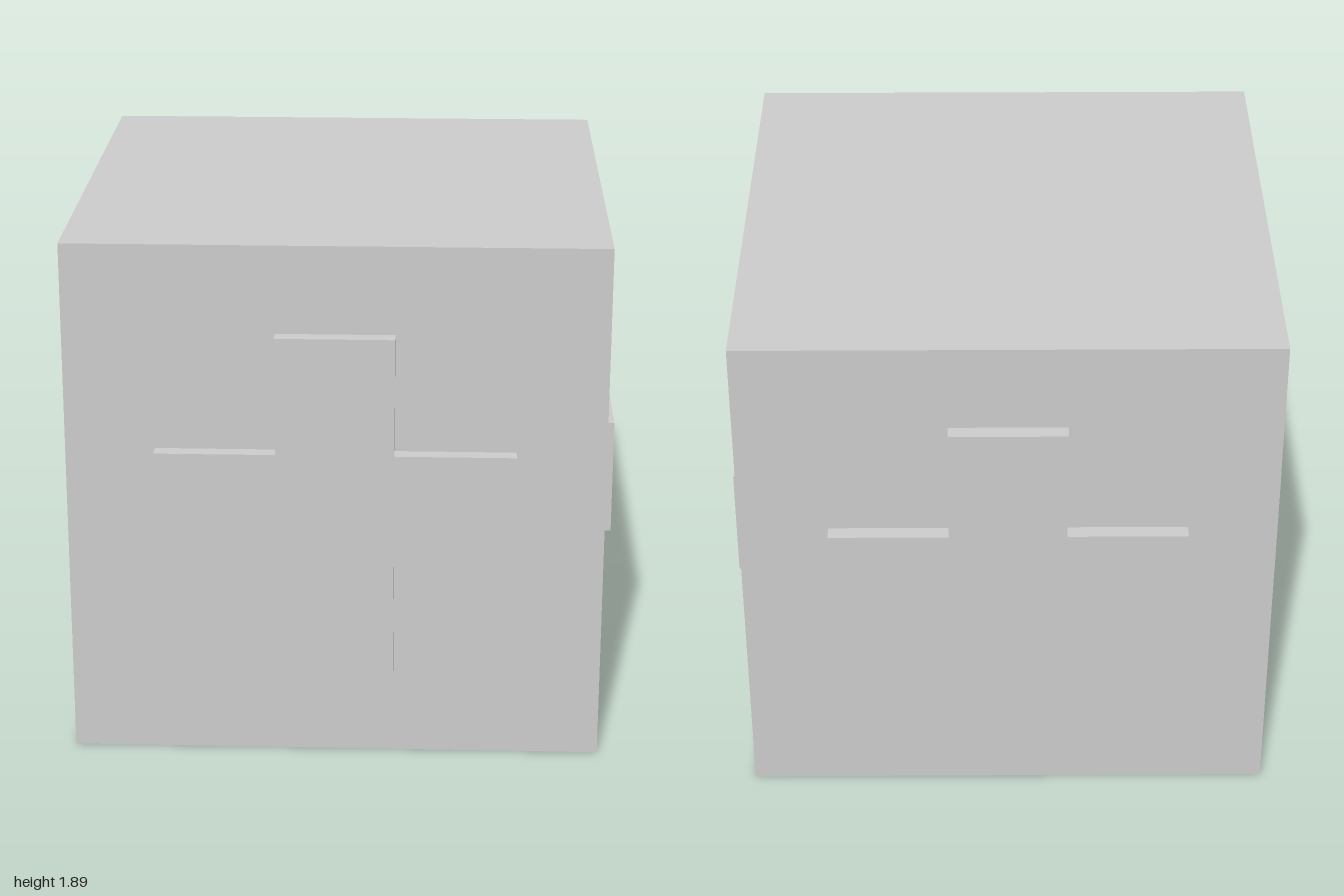
import * as THREE from 'three';

const SIZE = 1.888;   // cube edge
const REACH = 0.63;   // centre to tip of a cross arm
const ARM = 0.207;    // half width of a cross arm

// Plus-shaped plate that starts on z = 0 and rises along +z
function crossGeometry(depth) {
  const r = REACH, a = ARM;
  const outline = [
    [-a, -r], [a, -r], [a, -a], [r, -a], [r, a], [a, a],
    [a, r], [-a, r], [-a, a], [-r, a], [-r, -a], [-a, -a],
  ].map(([x, y]) => new THREE.Vector2(x, y));
  return new THREE.ExtrudeGeometry(new THREE.Shape(outline), { depth, bevelEnabled: false });
}

export function createModel() {
  const model = new THREE.Group();
  model.name = 'crossCube';
  const material = new THREE.MeshStandardMaterial({ color: 0xcccccc, flatShading: true });

  const cube = new THREE.Mesh(new THREE.BoxGeometry(SIZE, SIZE, SIZE), material);
  cube.name = 'cube';
  cube.position.y = SIZE / 2;
  model.add(cube);

  // One raised cross per side wall; those on the front and back stand out further
  const sides = [
    ['frontCross', 0, 1.0],
    ['leftCross', Math.PI / 2, 0.987],
    ['backCross', Math.PI, 1.0],
    ['rightCross', -Math.PI / 2, 0.987],
  ];
  for (const [name, angle, outer] of sides) {
    const cross = new THREE.Mesh(crossGeometry(outer - SIZE / 2), material);
    cross.name = name;
    cross.rotation.y = angle;
    cross.position.set(Math.sin(angle), 0, Math.cos(angle)).multiplyScalar(SIZE / 2);
    cross.position.y = SIZE / 2;
    model.add(cross);
  }
  return model;
}
